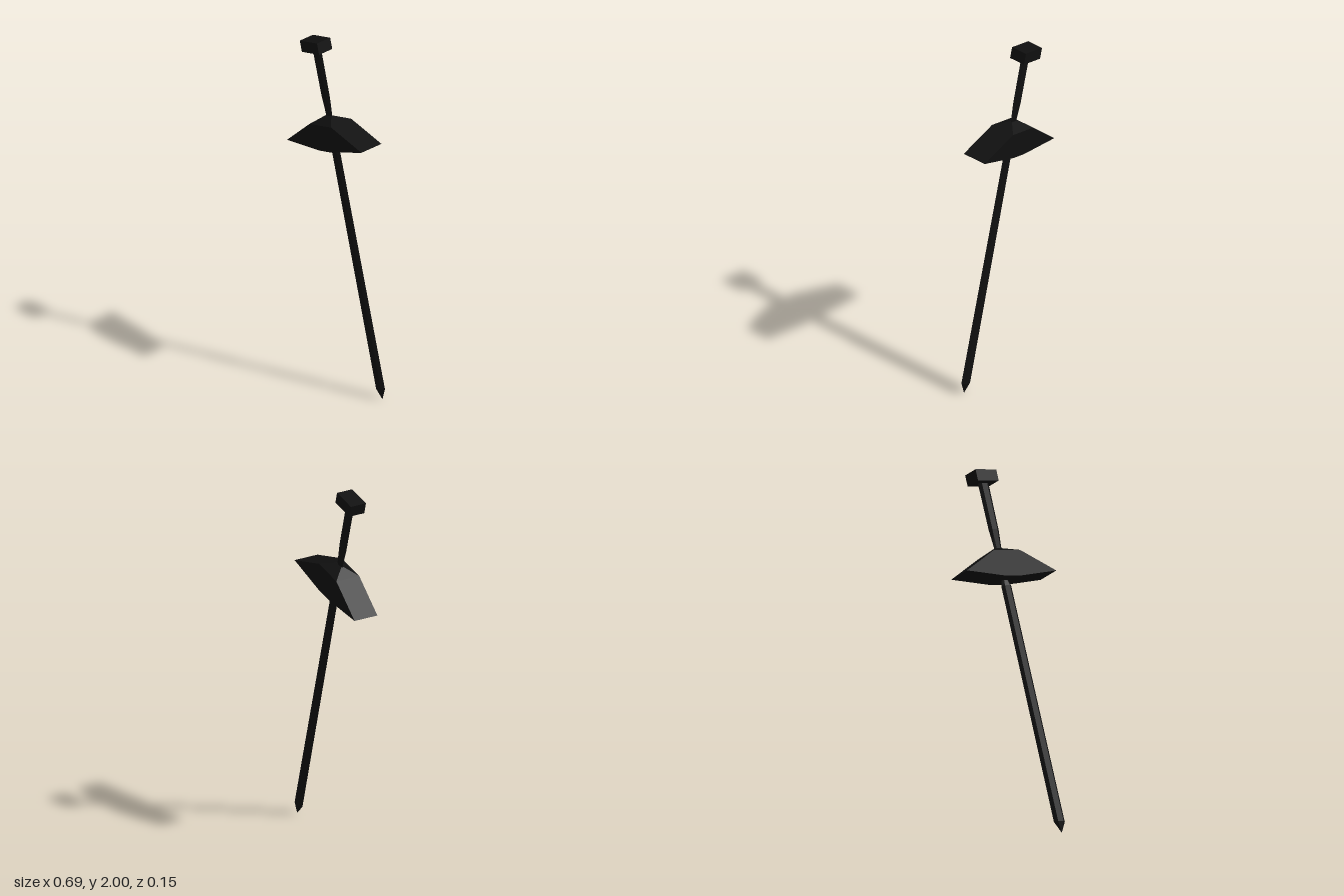
import * as THREE from 'three';
import { ConvexGeometry } from 'three/addons/geometries/ConvexGeometry.js';

const V = (x, y, z) => new THREE.Vector3(x, y, z);

// Flattened six-sided section: half width w, half thickness d, at height y
function hexSection(w, d, y) {
  return [
    V(w, y, 0), V(w / 2, y, d), V(-w / 2, y, d),
    V(-w, y, 0), V(-w / 2, y, -d), V(w / 2, y, -d),
  ];
}

// Four corners mirrored across x and z
function corners(x, y, z) {
  return [V(x, y, z), V(-x, y, z), V(x, y, -z), V(-x, y, -z)];
}

export function createModel() {
  const darkMetal = new THREE.MeshStandardMaterial({ color: 0x0f0f0f, flatShading: true });
  darkMetal.name = 'dark metal';

  // The sword is built upright with its tip at the origin, then leaned over
  const sword = new THREE.Group();
  sword.name = 'sword';
  const add = (name, geometry) => {
    const mesh = new THREE.Mesh(geometry, darkMetal);
    mesh.name = name;
    sword.add(mesh);
    return mesh;
  };

  // Blade: pointed tip, slight taper, narrowed where it meets the guard
  add('blade', new ConvexGeometry([
    V(0, 0, 0),
    ...hexSection(0.037, 0.0145, 0.062),
    ...hexSection(0.034, 0.012, 1.405),
    ...hexSection(0.021, 0.007, 1.44),
  ]));

  // Guard: wide wedge rising to a small top facet
  add('guard', new ConvexGeometry([
    ...corners(0.045, 1.437, 0.073),
    ...corners(0.303, 1.467, 0.073),
    ...corners(0.088, 1.584, 0.073),
    ...corners(0.025, 1.617, 0.008),
  ]));

  // Grip: narrows towards the guard
  add('grip', new ConvexGeometry([
    ...hexSection(0.024, 0.006, 1.61),
    ...hexSection(0.034, 0.012, 1.725),
    ...hexSection(0.036, 0.0122, 1.99),
  ]));

  // Pommel block
  add('pommel', new THREE.BoxGeometry(0.14, 0.064, 0.096)).position.y = 2.02;

  sword.rotation.z = THREE.MathUtils.degToRad(15);
  sword.position.x = 0.325;

  const model = new THREE.Group();
  model.name = 'leaningSword';
  model.add(sword);
  return model;
}
